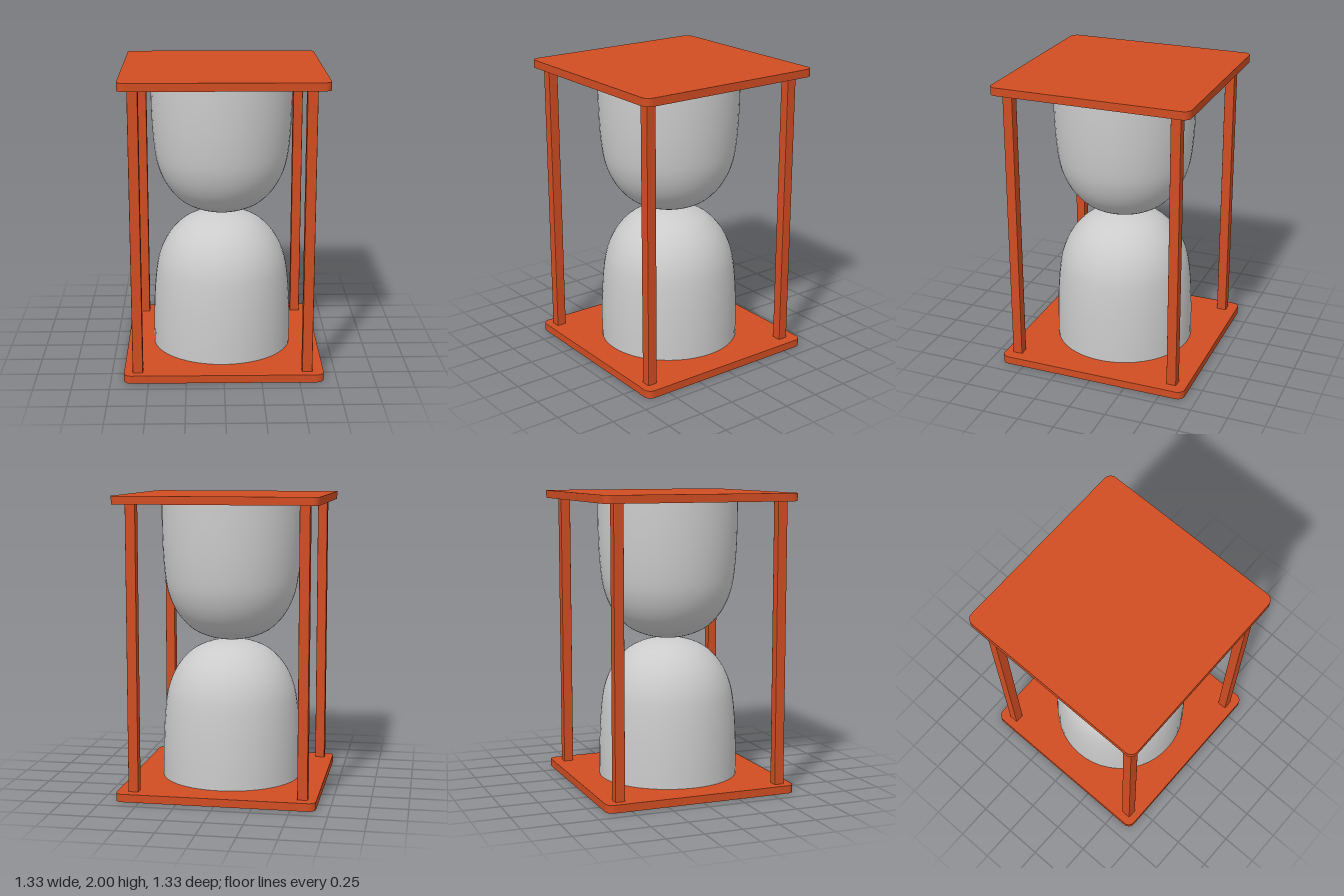
import * as THREE from 'three';

const wood = new THREE.MeshStandardMaterial({ color: 0xd14d22 });
const glass = new THREE.MeshStandardMaterial({ color: 0xcccccc, side: THREE.DoubleSide });

// Square with rounded corners, centred on the origin
function roundedSquare(half, r) {
  const s = new THREE.Shape();
  const c = half - r;
  s.absarc(c, c, r, 0, Math.PI / 2);
  s.absarc(-c, c, r, Math.PI / 2, Math.PI);
  s.absarc(-c, -c, r, Math.PI, Math.PI * 1.5);
  s.absarc(c, -c, r, Math.PI * 1.5, Math.PI * 2);
  s.closePath();
  return s;
}

// Upright prism of a rounded square, standing from y0 to y1
function prism(name, half, r, y0, y1, curveSegments) {
  const geo = new THREE.ExtrudeGeometry(roundedSquare(half, r), {
    depth: y1 - y0, bevelEnabled: false, curveSegments,
  });
  geo.rotateX(-Math.PI / 2);
  geo.translate(0, y0, 0);
  const mesh = new THREE.Mesh(geo, wood);
  mesh.name = name;
  return mesh;
}

export function createModel() {
  const model = new THREE.Group();
  model.name = 'hourglass';

  // Base and top plates
  model.add(prism('basePlate', 0.662, 0.05, 0, 0.053, 6));
  model.add(prism('topPlate', 0.667, 0.05, 1.947, 2, 6));

  // Four corner posts
  for (const x of [-0.571, 0.553]) {
    for (const z of [-0.557, 0.575]) {
      const post = prism('cornerPost', 0.034, 0.006, 0.05, 1.95, 1);
      post.position.set(x, 0, z);
      model.add(post);
    }
  }

  // Domed bulbs meeting tip to tip; profile runs from rim to tip
  const profile = new THREE.SplineCurve([
    [0.476, 0], [0.476, 0.2], [0.468, 0.41], [0.45, 0.59], [0.423, 0.7], [0.383, 0.79],
    [0.33, 0.865], [0.26, 0.93], [0.17, 0.974], [0.08, 0.996], [0, 1],
  ].map(([r, y]) => new THREE.Vector2(r, y)));
  const points = profile.getPoints(40);
  points.forEach((p) => { p.x = Math.max(p.x, 0); });
  const lower = points.map((p) => new THREE.Vector2(p.x, 0.04 + p.y * 0.963));
  const upper = points.map((p) => new THREE.Vector2(p.x, 1.96 - p.y * 0.954)).reverse();
  for (const [name, pts] of [['lowerBulb', lower], ['upperBulb', upper]]) {
    const bulb = new THREE.Mesh(new THREE.LatheGeometry(pts, 48), glass);
    bulb.name = name;
    bulb.position.set(-0.005, 0, 0.005);
    model.add(bulb);
  }

  return model;
}
